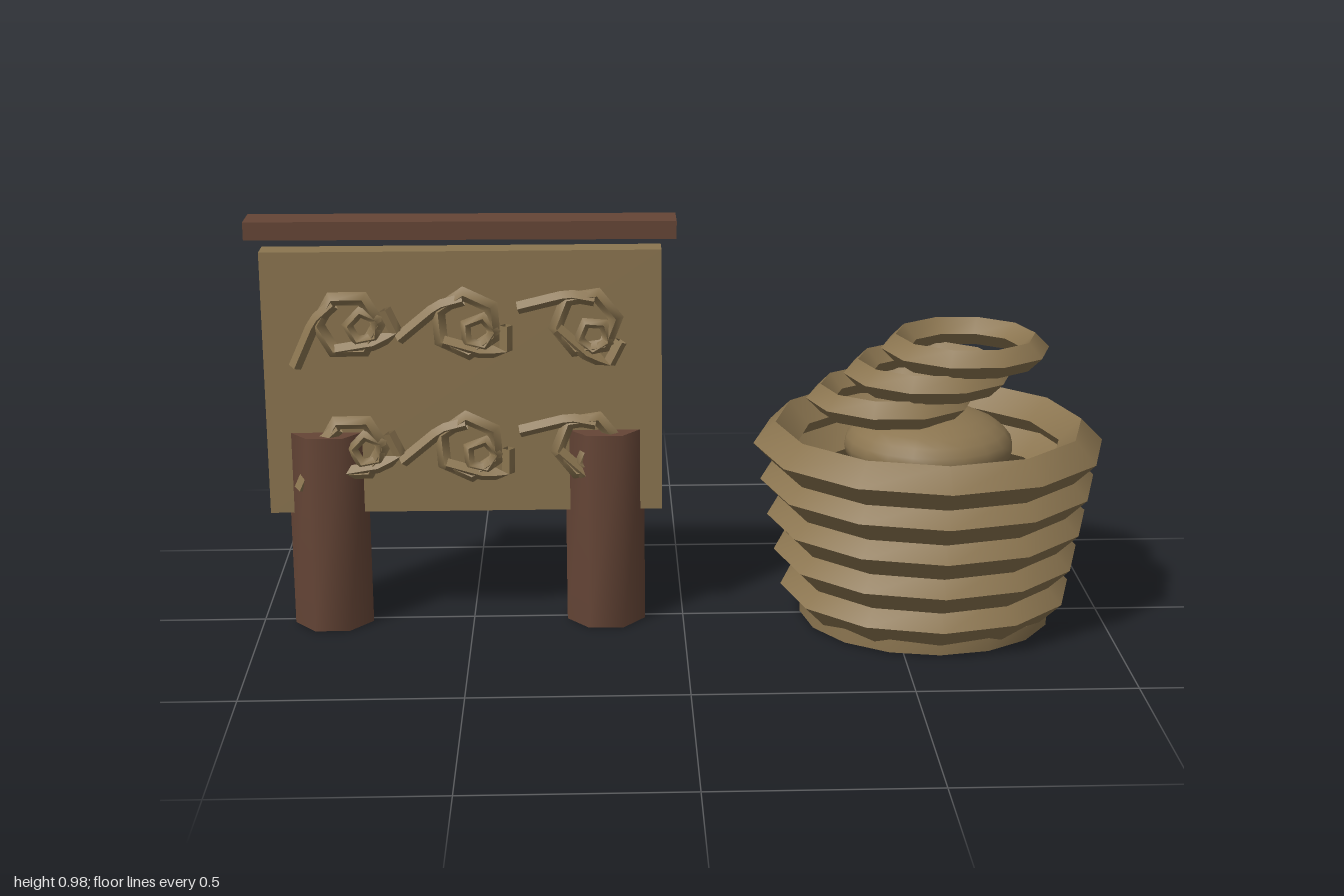
import * as THREE from 'three';
import { toCreasedNormals } from 'three/addons/utils/BufferGeometryUtils.js';

export function createModel() {
  const model = new THREE.Group();
  const straw = new THREE.MeshStandardMaterial({ color: 0x8b7550 });
  straw.name = 'straw';
  const wood = new THREE.MeshStandardMaterial({ color: 0x654536 });
  wood.name = 'dark wood';

  const add = (name, geo, mat, x, y, z, parent = model) => {
    const mesh = new THREE.Mesh(toCreasedNormals(geo, 0.95), mat);
    mesh.name = name;
    mesh.position.set(x, y, z);
    parent.add(mesh);
    return mesh;
  };
  // Horizontal hoop with a diamond cross-section
  const hoop = (radius, tube, sides) =>
    new THREE.TorusGeometry(radius, tube, 4, sides).rotateX(-Math.PI / 2);

  // Display board, posts and cap rail
  const stand = new THREE.Group();
  stand.name = 'displayStand';
  model.add(stand);
  add('board', new THREE.BoxGeometry(0.92, 0.625, 0.064), straw, -0.51, 0.592, 0.002, stand);
  const rail = add('capRail', new THREE.BoxGeometry(0.985, 0.042, 0.094), wood, -0.508, 0.955, 0.001, stand);
  rail.rotation.z = -0.004;
  for (const x of [-0.832, -0.184]) {
    const post = new THREE.CylinderGeometry(0.095, 0.095, 0.475, 7).rotateY(Math.PI);
    add('post', post, wood, x, 0.2375, 0, stand);
  }

  // Rope knots: main loop, small inner curl, and strands running out to both sides
  const strand = (points) => {
    const path = new THREE.CurvePath();
    const v = points.map(([x, y, z]) => new THREE.Vector3(x, y, z));
    for (let i = 1; i < v.length; i++) path.add(new THREE.LineCurve3(v[i - 1], v[i]));
    return new THREE.TubeGeometry(path, 7, 0.015, 4, false);
  };
  for (const y of [0.74, 0.445]) {
    [-0.77, -0.5, -0.225].forEach((x, i) => {
      const knot = new THREE.Group();
      knot.name = 'ropeKnot';
      knot.position.set(x, y, 0.058);
      knot.rotation.z = -0.45 * i;
      stand.add(knot);
      const loop = new THREE.TorusGeometry(0.07, 0.018, 4, 6);
      add('knotLoop', loop, straw, 0, 0, 0, knot);
      const curl = new THREE.TorusGeometry(0.036, 0.014, 4, 5).rotateZ(0.5);
      add('knotCurl', curl, straw, 0.035, -0.005, 0.006, knot);
      const tail = strand([[-0.125, -0.1, 0], [-0.075, 0.01, 0.004], [-0.03, 0.05, 0.008]]);
      const end = strand([[-0.03, -0.06, 0.006], [0.06, -0.045, 0.008], [0.11, -0.02, 0], [0.085, 0.035, 0]]);
      for (const geo of [tail, end]) {
        const m = add('knotStrand', geo, straw, 0, 0, 0, knot);
        m.material = straw;
      }
    });
  }
  // Open strand ends need both faces
  straw.side = THREE.DoubleSide;

  // Basket of stacked hoops, widening upwards
  const basket = new THREE.Group();
  basket.name = 'basket';
  basket.position.x = 0.582;
  model.add(basket);
  add('basketBase', new THREE.CylinderGeometry(0.3, 0.3, 0.034, 16), straw, 0, 0.021, 0, basket);
  for (let i = 0; i < 5; i++) {
    add('basketHoop', hoop(0.295 + 0.017 * i, 0.052, 12), straw, 0, 0.075 + 0.0883 * i, 0, basket);
  }

  // Rounded bundle inside and the loose coils stepping across it
  const bundle = new THREE.SphereGeometry(0.2, 20, 14).scale(1, 0.45, 1);
  add('bundle', bundle, straw, 0, 0.423, 0, basket);
  for (let i = 0; i < 3; i++) {
    add('ropeCoil', hoop(0.165, 0.034, 10), straw, -0.09 + 0.0875 * i, 0.53 + 0.06 * i, -0.028, basket);
  }
  return model;
}
